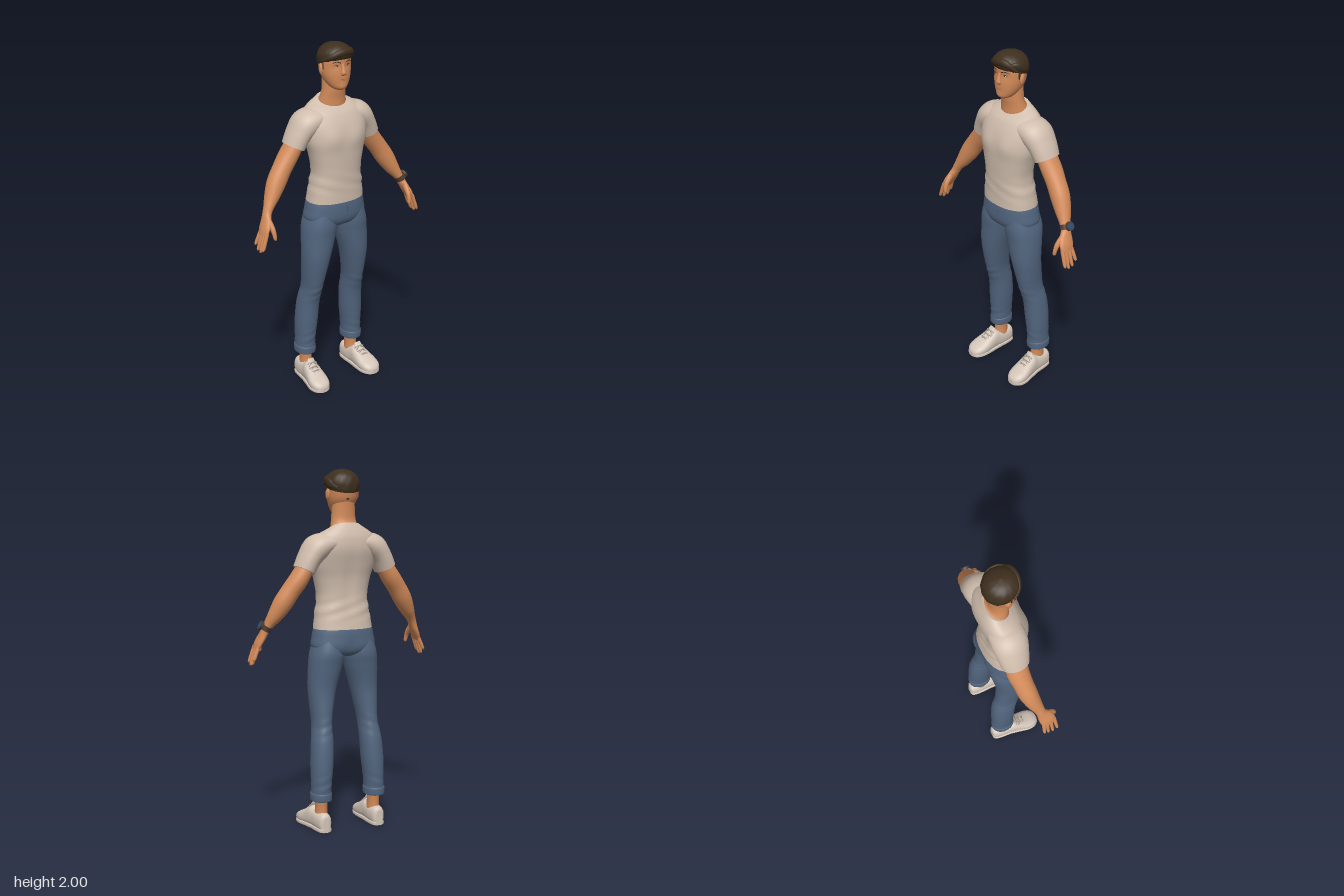
import * as THREE from 'three';

const mat = (name, color) => Object.assign(new THREE.MeshStandardMaterial({ color }), { name });
const M = {
  skin: mat('skin', 0xd28a59), lips: mat('lips', 0xb46d48), hair: mat('hair', 0x3e2f1e),
  shirt: mat('shirt', 0xd0bdad), denim: mat('denim', 0x52657e), seam: mat('denim seam', 0x3d4e66),
  shoe: mat('shoe', 0xd4c6b9), lace: mat('lace', 0xaa9e92),
  metal: mat('watch strap', 0x4f3d30), dial: mat('watch dial', 0x2f4d70),
};

const cr = (a, b, c, d, t) =>
  0.5 * (2 * b + (c - a) * t + (2 * a - 5 * b + 4 * c - d) * t * t + (3 * b - a - 3 * c + d) * t * t * t);
const bump = (v, at, width) => Math.exp(-(((v - at) / width) ** 2));

// Smooth skin through superellipse sections [x, y, z, halfWidth, halfDepth, tilt]
function loft(rows, { n = 28, sub = 4, p = 2, ref = [0, 0, 1], axis = null, shape = null } = {}) {
  const S = [];
  const row = (i) => rows[Math.max(0, Math.min(rows.length - 1, i))];
  for (let i = 0; i < rows.length - 1; i++)
    for (let k = 0; k < sub; k++)
      S.push([0, 1, 2, 3, 4, 5].map((c) =>
        cr(row(i - 1)[c] ?? 0, row(i)[c] ?? 0, row(i + 1)[c] ?? 0, row(i + 2)[c] ?? 0, k / sub)));
  S.push([...rows[rows.length - 1], 0].slice(0, 6));
  const pos = [], idx = [], at = (s) => new THREE.Vector3(s[0], s[1], s[2]);
  const pw = (v) => Math.sign(v) * Math.abs(v) ** (2 / p);
  S.forEach((s, i) => {
    const T = axis ? new THREE.Vector3(...axis)
      : at(S[Math.min(i + 1, S.length - 1)]).sub(at(S[Math.max(i - 1, 0)])).normalize();
    const V = new THREE.Vector3(...ref);
    V.addScaledVector(T, -V.dot(T)).normalize();
    const U = T.clone().cross(V);
    for (let j = 0; j < n; j++) {
      const a = (j / n) * Math.PI * 2, c = pw(Math.cos(a)), d = pw(Math.sin(a));
      const v = at(s).addScaledVector(U, c * Math.max(s[3], 0.001)).addScaledVector(V, d * Math.max(s[4], 0.001));
      v.y += (s[5] ?? 0) * d;
      if (shape) shape(v);
      pos.push(v.x, v.y, v.z);
      if (i < S.length - 1) {
        const k = i * n + j, l = i * n + ((j + 1) % n);
        idx.push(k, k + n, l, l, k + n, l + n);
      }
    }
  });
  // End caps use their own vertices so the rim stays sharp
  for (const end of [0, S.length - 1]) {
    const base = pos.length / 3, o = end * n * 3;
    pos.push(...pos.slice(o, o + n * 3), S[end][0], S[end][1], S[end][2]);
    for (let j = 0; j < n; j++) {
      const a = base + j, b = base + ((j + 1) % n);
      idx.push(...(end ? [base + n, b, a] : [base + n, a, b]));
    }
  }
  const g = new THREE.BufferGeometry();
  g.setAttribute('position', new THREE.Float32BufferAttribute(pos, 3));
  g.setIndex(idx);
  g.computeVertexNormals();
  return g;
}

export function createModel() {
  const root = new THREE.Group();
  root.name = 'standingMan';
  const add = (name, geo, m) => {
    const mesh = new THREE.Mesh(geo, m);
    mesh.name = name;
    root.add(mesh);
    return mesh;
  };
  const side = (rows, s) => rows.map(([x, ...r]) => [x * s, ...r]);
  const ball = (name, m, at, size) => {
    const b = add(name, new THREE.SphereGeometry(1, 16, 12), m);
    b.position.set(...at);
    b.scale.set(...size);
    return b;
  };
  const tube = (name, m, pts, r) => add(name, new THREE.TubeGeometry(
    new THREE.CatmullRomCurve3(pts.map((q) => new THREE.Vector3(...q))), 12, r, 6), m);
  const up = { axis: [0, 1, 0] }, down = { axis: [0, -1, 0] };

  // Shirt body with chest, spine and waist folds
  add('shirtBody', loft([
    [0, 1.127, -0.008, 0.17, 0.115], [0, 1.2, -0.003, 0.16, 0.11], [0, 1.3, 0.004, 0.146, 0.105],
    [0, 1.4, 0.004, 0.162, 0.109], [0, 1.48, -0.004, 0.184, 0.116], [0, 1.56, -0.02, 0.19, 0.116],
    [0, 1.62, -0.033, 0.178, 0.1], [0, 1.656, -0.04, 0.145, 0.08, -0.008], [0, 1.684, -0.034, 0.086, 0.063, -0.027],
  ], { ...up, n: 48, sub: 6, p: 2.3, shape: (v) => {
    const x = Math.abs(v.x);
    if (v.z > 0.03) v.z += 0.01 * bump(x, 0.075, 0.055) * bump(v.y, 1.5, 0.055);
    else if (v.z < -0.04) v.z += 0.008 * bump(x, 0, 0.03) * bump(v.y, 1.4, 0.16);
    const fold = 0.0025 * Math.sin(v.y * 90 + v.x * 30) * bump(v.y, 1.24, 0.05);
    v.x *= 1 + fold * 6;
    v.z += fold * Math.sign(v.z);
  } }), M.shirt);

  // Neck and head
  add('neck', loft([
    [0, 1.62, -0.03, 0.078, 0.06], [0, 1.675, -0.03, 0.081, 0.061, -0.02], [0, 1.705, -0.023, 0.075, 0.054, -0.008],
    [0, 1.75, -0.017, 0.068, 0.054], [0, 1.85, -0.017, 0.064, 0.056],
  ], up), M.skin);
  add('head', loft([
    [0, 1.75, 0.037, 0.02, 0.022], [0, 1.763, 0.028, 0.044, 0.045], [0, 1.79, 0.014, 0.065, 0.063],
    [0, 1.83, 0.001, 0.081, 0.077], [0, 1.87, -0.005, 0.087, 0.08], [0, 1.91, -0.007, 0.088, 0.083],
    [0, 1.95, -0.007, 0.083, 0.078], [0, 1.975, -0.007, 0.05, 0.05],
  ], { ...up, n: 36, p: 2.15, shape: (v) => {
    if (v.z > 0.03) {
      v.z -= 0.005 * bump(Math.abs(v.x), 0.035, 0.018) * bump(v.y, 1.882, 0.014);
      v.z += 0.005 * bump(v.x, 0, 0.025) * bump(v.y, 1.768, 0.02);
    }
  } }), M.skin);
  add('nose', loft([
    [0, 1.903, 0.066, 0.009, 0.008], [0, 1.87, 0.075, 0.01, 0.011], [0, 1.845, 0.079, 0.016, 0.014],
    [0, 1.832, 0.073, 0.014, 0.01],
  ], { ...down, n: 14 }), M.skin);
  ball('upperLip', M.lips, [0, 1.812, 0.073], [0.026, 0.003, 0.009]);
  ball('lowerLip', M.lips, [0, 1.805, 0.071], [0.02, 0.004, 0.009]);
  for (const s of [1, -1]) {
    ball('eye', M.shoe, [s * 0.035, 1.883, 0.063], [0.011, 0.004, 0.005]);
    ball('iris', M.hair, [s * 0.034, 1.883, 0.066], [0.0045, 0.004, 0.004]);
    tube('upperLid', M.hair, [[s * 0.021, 1.885, 0.068], [s * 0.035, 1.889, 0.067], [s * 0.05, 1.884, 0.06]], 0.0015);
    tube('eyebrow', M.hair, [[s * 0.016, 1.901, 0.073], [s * 0.038, 1.907, 0.068], [s * 0.06, 1.9, 0.054]], 0.0028);
    ball('ear', M.skin, [s * 0.087, 1.862, -0.007], [0.011, 0.031, 0.018]).rotation.set(-0.15, s * 0.3, 0);
    ball('sideburn', M.hair, [s * 0.083, 1.888, 0.011], [0.006, 0.027, 0.006]);
  }

  // Hair cap, swept fringe and side lock
  add('hairCap', loft([
    [0, 1.893, -0.009, 0.089, 0.087, 0.025], [0, 1.91, -0.008, 0.094, 0.093, 0.022],
    [0, 1.938, -0.007, 0.094, 0.095, 0.014], [0, 1.967, -0.007, 0.078, 0.082, 0.006],
    [0, 1.989, -0.005, 0.046, 0.052, 0.002], [0, 1.999, -0.004, 0.004, 0.004],
  ], { ...up, n: 40, sub: 5, shape: (v) => {
    const k = 1 + 0.012 * Math.sin(Math.atan2(v.z, v.x) * 12 + v.y * 60);
    v.x *= k;
    v.z *= k;
  } }), M.hair);
  add('fringe', loft([
    [0.088, 1.915, 0.032, 0.008, 0.008], [0.05, 1.95, 0.066, 0.02, 0.016], [-0.005, 1.955, 0.078, 0.021, 0.015],
    [-0.06, 1.934, 0.058, 0.018, 0.015], [-0.095, 1.91, 0.02, 0.004, 0.004],
  ], { n: 14 }), M.hair);
  add('sideLock', loft([
    [0.07, 1.95, 0.05, 0.008, 0.008], [0.086, 1.94, 0.02, 0.013, 0.022], [0.088, 1.92, -0.03, 0.012, 0.024],
    [0.06, 1.895, -0.075, 0.006, 0.01],
  ], { n: 14, ref: [0, 1, 0] }), M.hair);
  ball('napeHair', M.hair, [0, 1.843, -0.075], [0.013, 0.012, 0.005]);

  // Jeans seat and fly
  add('jeansSeat', loft([
    [0, 1.165, -0.008, 0.152, 0.1], [0, 1.125, -0.01, 0.17, 0.11], [0, 1.08, -0.011, 0.18, 0.114],
    [0, 1.03, -0.013, 0.186, 0.114], [0, 0.995, -0.014, 0.15, 0.1], [0, 0.975, -0.014, 0.1, 0.07],
  ], { ...down, n: 40, p: 2.3, shape: (v) => {
    if (v.z < -0.05) v.z += 0.01 * bump(v.x, 0, 0.025) * bump(v.y, 1.02, 0.05);
  } }), M.denim);
  tube('fly', M.seam, [[0.011, 1.095, 0.1], [0.012, 1.065, 0.1], [0.004, 1.04, 0.099]], 0.0035);

  for (const s of [1, -1]) {
    const part = (name) => (s > 0 ? 'left' : 'right') + name;

    // Sleeve, arm and palm
    add(part('Sleeve'), loft(side([
      [0.05, 1.605, -0.036, 0.045, 0.085], [0.11, 1.597, -0.036, 0.06, 0.094], [0.168, 1.572, -0.037, 0.074, 0.096],
      [0.212, 1.52, -0.04, 0.064, 0.086], [0.245, 1.455, -0.042, 0.06, 0.075],
    ], s), { n: 36, sub: 6 }), M.shirt);
    add(part('Arm'), loft(side([
      [0.225, 1.49, -0.04, 0.045, 0.06], [0.275, 1.41, -0.044, 0.052, 0.061], [0.322, 1.345, -0.037, 0.052, 0.055],
      [0.364, 1.28, -0.028, 0.053, 0.053], [0.403, 1.215, -0.013, 0.042, 0.044], [0.435, 1.165, 0.003, 0.028, 0.032],
      [0.453, 1.13, 0.012, 0.023, 0.029], [0.468, 1.095, 0.025, 0.02, 0.04], [0.485, 1.06, 0.037, 0.018, 0.045],
      [0.499, 1.028, 0.041, 0.012, 0.04],
    ], s)), M.skin);

    // Fingers and thumb
    [[0.074, 0.951], [0.052, 0.937], [0.03, 0.942], [0.01, 0.966]].forEach(([z, tip], i) => {
      const len = 1.045 - tip, zt = z + (1.5 - i) * 0.004;
      add(part('Finger' + (i + 1)), loft(side([
        [0.492, 1.045, z, 0.011, 0.011], [0.507, 1.045 - len * 0.45, (z + zt) / 2, 0.011, 0.0105],
        [0.518, 1.045 - len * 0.8, zt, 0.01, 0.009], [0.524, tip + 0.006, zt, 0.007, 0.007], [0.525, tip, zt, 0.002, 0.002],
      ], s), { n: 10, sub: 3 }), M.skin);
    });
    add(part('Thumb'), loft(side([
      [0.462, 1.105, 0.04, 0.015, 0.02], [0.459, 1.07, 0.075, 0.014, 0.016], [0.457, 1.04, 0.09, 0.012, 0.012],
      [0.454, 1.013, 0.095, 0.009, 0.009], [0.453, 1.005, 0.096, 0.002, 0.002],
    ], s), { n: 12, sub: 3 }), M.skin);

    // Trouser leg with creases at the knee and hem
    add(part('Leg'), loft(side([
      [0.09, 1.1, -0.01, 0.07, 0.09], [0.097, 1.0, -0.014, 0.095, 0.107], [0.108, 0.92, -0.012, 0.094, 0.1],
      [0.126, 0.8, -0.008, 0.079, 0.089], [0.135, 0.7, -0.018, 0.065, 0.083], [0.141, 0.6, -0.034, 0.054, 0.077],
      [0.149, 0.5, -0.06, 0.06, 0.074], [0.156, 0.38, -0.071, 0.062, 0.073], [0.162, 0.26, -0.076, 0.055, 0.068],
      [0.164, 0.19, -0.077, 0.055, 0.066],
    ], s), { ...down, n: 32, sub: 8, p: 2.15, shape: (v) => {
      const k = bump(v.y, 0.58, 0.05) + bump(v.y, 0.27, 0.05);
      v.z += 0.002 * k * Math.sin(v.y * 120 + s * v.x * 40);
    } }), M.denim);
    add(part('Cuff'), loft(side([
      [0.164, 0.172, -0.077, 0.055, 0.066], [0.164, 0.178, -0.077, 0.059, 0.07],
      [0.164, 0.21, -0.077, 0.059, 0.07], [0.164, 0.217, -0.077, 0.055, 0.066],
    ], s), { ...up, p: 2.15 }), M.denim);
    add(part('Ankle'), loft(side([
      [0.162, 0.08, -0.07, 0.036, 0.047], [0.162, 0.13, -0.073, 0.033, 0.042], [0.163, 0.2, -0.075, 0.036, 0.046],
    ], s), up), M.skin);

    // Shoe: sections [x, z, halfWidth, height] from heel to toe
    const last = [
      [0.164, -0.151, 0.018, 0.085], [0.164, -0.138, 0.035, 0.103], [0.165, -0.09, 0.043, 0.107],
      [0.167, -0.04, 0.045, 0.116], [0.17, -0.012, 0.048, 0.127], [0.173, 0.03, 0.054, 0.106],
      [0.178, 0.08, 0.06, 0.08], [0.18, 0.12, 0.054, 0.063], [0.18, 0.145, 0.036, 0.046], [0.18, 0.154, 0.016, 0.03],
    ];
    const alongZ = { axis: [0, 0, 1], ref: [0, 1, 0], n: 28 };
    add(part('Shoe'), loft(last.map(([x, z, w, h]) => [s * x, h / 2, z, w, h / 2]), { ...alongZ, p: 2.4 }), M.shoe);
    add(part('Sole'), loft(last.map(([x, z, w]) => [s * x, 0.011, z, w + 0.001, 0.011]), { ...alongZ, p: 6 }), M.shoe);
    add(part('Tongue'), loft([
      [s * 0.173, 0.095, 0.03, 0.022, 0.008], [s * 0.17, 0.12, 0.004, 0.025, 0.008], [s * 0.168, 0.143, -0.012, 0.02, 0.006],
    ], { n: 14 }), M.shoe);
    // Crossed laces
    [[0.012, 0.126], [0.034, 0.109], [0.056, 0.095]].forEach(([z, y], i) => {
      const x = s * (0.171 + i * 0.002), w = 0.032;
      for (const k of [1, -1])
        tube(part('Lace'), M.lace, [[x - w, y - 0.014 - 0.006 * k, z + 0.008 * k], [x, y + 0.001, z],
          [x + w, y - 0.014 + 0.006 * k, z - 0.008 * k]], 0.003);
    });
  }

  // Wristwatch on the left wrist
  add('watchStrap', loft([
    [0.444, 1.158, 0.006, 0.031, 0.035], [0.456, 1.134, 0.012, 0.029, 0.035],
  ], { sub: 2 }), M.metal);
  const out = new THREE.Vector3(0.87, 0.48, 0).normalize();
  for (const [name, m, r, h, d] of [['watchCase', M.metal, 0.025, 0.014, 0.032], ['watchDial', M.dial, 0.018, 0.004, 0.039]]) {
    const c = add(name, new THREE.CylinderGeometry(r, r, h, 20), m);
    c.quaternion.setFromUnitVectors(new THREE.Vector3(0, 1, 0), out);
    c.position.set(0.45, 1.146, 0.009).addScaledVector(out, d);
  }
  return root;
}
